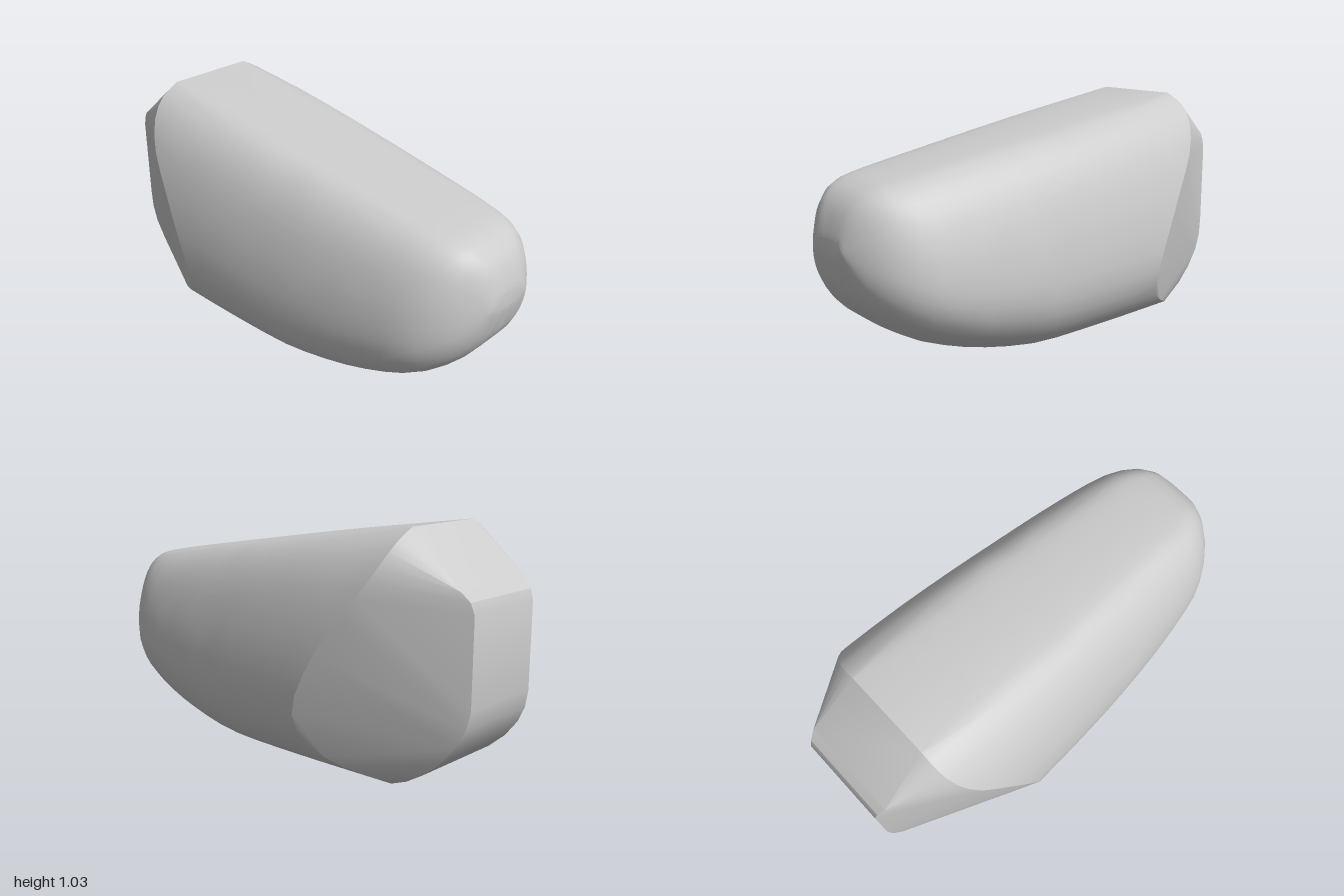
import * as THREE from 'three';
import { ConvexGeometry } from 'three/addons/geometries/ConvexGeometry.js';
import { toCreasedNormals } from 'three/addons/utils/BufferGeometryUtils.js';

// Smooth interpolation through [input, output] knots
function curve(knots) {
  const slope = (i) => {
    const a = knots[Math.max(i - 1, 0)], b = knots[Math.min(i + 1, knots.length - 1)];
    return (b[1] - a[1]) / (b[0] - a[0]);
  };
  return (v) => {
    let i = 0;
    while (i < knots.length - 2 && v > knots[i + 1][0]) i++;
    const [x0, y0] = knots[i], [x1, y1] = knots[i + 1], h = x1 - x0;
    const s = THREE.MathUtils.clamp((v - x0) / h, 0, 1), s2 = s * s, s3 = s2 * s;
    return y0 * (2 * s3 - 3 * s2 + 1) + y1 * (3 * s2 - 2 * s3)
      + h * (slope(i) * (s3 - 2 * s2 + s) + slope(i + 1) * (s3 - s2));
  };
}

// Outline of the body along its length
const topY = curve([[-0.715, 1.035], [-0.4, 0.995], [0, 0.933], [0.5, 0.85], [0.8, 0.8],
  [0.88, 0.779], [0.94, 0.735], [0.98, 0.665], [1, 0.585]]);
const bottomY = curve([[-0.715, 0.016], [-0.4, 0.01], [0, 0.003], [0.15, 0.004], [0.3, 0.025], [0.5, 0.07],
  [0.7, 0.14], [0.8, 0.197], [0.9, 0.285], [0.95, 0.355], [0.98, 0.425], [1, 0.52]]);
const halfWidth = curve([[-0.715, 0.49], [-0.36, 0.486], [0, 0.466], [0.3, 0.438], [0.5, 0.412],
  [0.7, 0.375], [0.8, 0.342], [0.9, 0.27], [0.96, 0.19], [0.99, 0.13], [1, 0.1]]);

// Where the tapered end begins, by relative height
const creaseX = curve([[0, -0.65], [0.03, -0.64], [0.07, -0.55], [0.14, -0.42], [0.19, -0.38], [0.29, -0.36],
  [0.4, -0.39], [0.6, -0.5], [0.77, -0.63], [0.88, -0.69], [0.95, -0.712], [1, -0.715]]);

// Half cross-section: relative width, relative height
const section = new THREE.SplineCurve([[0, 0], [0.25, 0.004], [0.49, 0.014], [0.64, 0.048], [0.8, 0.1],
  [0.935, 0.2], [0.992, 0.3], [1, 0.38], [0.98, 0.5], [0.945, 0.6], [0.89, 0.7], [0.815, 0.8], [0.71, 0.89],
  [0.58, 0.955], [0.45, 0.985], [0.22, 0.997], [0, 1]].map(([w, h]) => new THREE.Vector2(w, h)))
  .getSpacedPoints(30);

// Narrow strip wrapping the tapered end: x, y, half width
const endStrip = [[-0.715, 1.035, 0.2], [-0.95, 0.823, 0.22], [-0.985, 0.785, 0.205], [-1, 0.74, 0.2],
  [-1, 0.38, 0.2], [-0.985, 0.305, 0.207], [-0.95, 0.235, 0.215], [-0.89, 0.16, 0.222],
  [-0.81, 0.092, 0.23], [-0.74, 0.05, 0.235], [-0.67, 0.024, 0.24]];

export function createModel() {
  const group = new THREE.Group();
  const points = [];
  const addPair = (x, y, z) => {
    points.push(new THREE.Vector3(x, y, z));
    if (z > 1e-4) points.push(new THREE.Vector3(x, y, -z));
  };

  // Body lines run from the crease to the rounded nose
  const steps = 18;
  for (const p of section) {
    const start = creaseX(THREE.MathUtils.clamp(p.y, 0, 1));
    for (let i = 0; i <= steps; i++) {
      const x = THREE.MathUtils.lerp(start, 1, Math.sin((i / steps) * Math.PI / 2));
      addPair(x, THREE.MathUtils.lerp(bottomY(x), topY(x), p.y), Math.max(p.x, 0) * halfWidth(x));
    }
  }

  // Tapered end
  for (const [x, y, z] of endStrip) addPair(x, y, z);

  // The whole solid is convex, so a hull closes all its faces
  const geometry = toCreasedNormals(new ConvexGeometry(points), 0.38);
  const body = new THREE.Mesh(geometry, new THREE.MeshStandardMaterial({ color: 0xcccccc }));
  body.name = 'taperedBody';
  group.add(body);
  return group;
}
